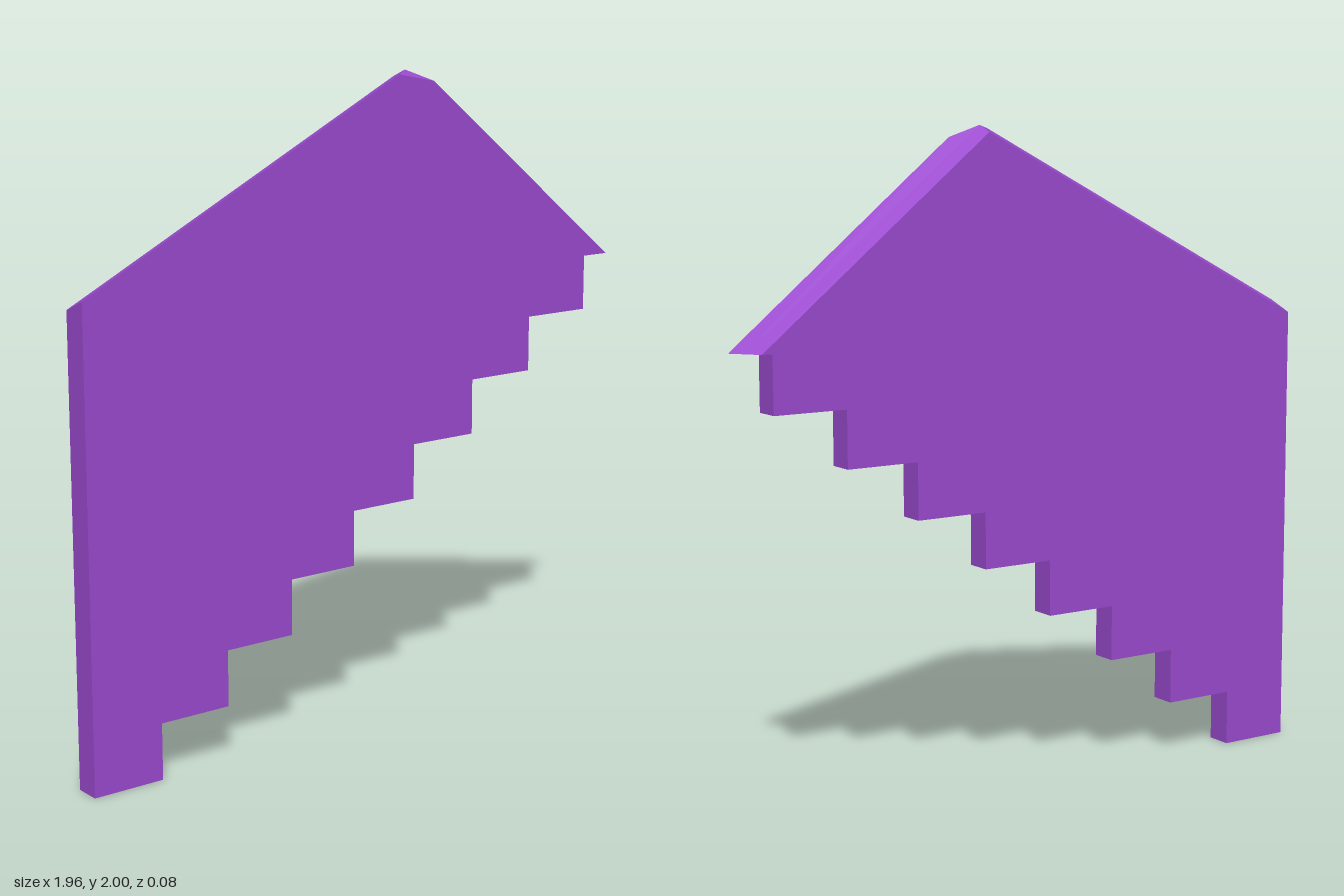
import * as THREE from 'three';

const STEPS = 8, RISE = 0.1725, RUN = 0.2335, LEFT = -0.98, DEPTH = 0.041;

// Counter-clockwise outline of the panel: stepped underside, then the gabled top
function outline(z, tipX, peakRight, peakLeft, eaveY) {
  const pts = [[LEFT, 0]];
  for (let i = 0; i < STEPS; i++) {
    const x = -0.75 + i * RUN;
    pts.push([x, i * RISE], [x, (i + 1) * RISE]);
  }
  pts.push([tipX, STEPS * RISE], peakRight, peakLeft, [LEFT, eaveY]);
  return pts.map(([x, y]) => new THREE.Vector3(x, y, z));
}

function panelGeometry() {
  // Sections from front to back; the split front peak closes to one ridge point
  const sections = [
    outline(DEPTH, 0.98, [0.255, 1.965], [0.122, 1.99], 1.43),
    outline(0, 0.949, [0.175, 2], [0.175, 2], 1.413),
    outline(-DEPTH, 0.918, [0.167, 1.98], [0.167, 1.98], 1.396),
  ];
  const positions = [];
  const tri = (a, b, c) => {
    if (a.equals(b) || b.equals(c) || a.equals(c)) return;
    for (const p of [a, b, c]) positions.push(p.x, p.y, p.z);
  };
  const cap = (loop, flip) => {
    const flat = loop.map((p) => new THREE.Vector2(p.x, p.y));
    for (const [a, b, c] of THREE.ShapeUtils.triangulateShape(flat, [])) {
      if (flip) tri(loop[c], loop[b], loop[a]);
      else tri(loop[a], loop[b], loop[c]);
    }
  };

  // Front and back faces
  cap(sections[0], false);
  cap(sections[2], true);

  // Rim between neighbouring sections
  for (let s = 0; s < 2; s++) {
    const near = sections[s], far = sections[s + 1];
    for (let i = 0; i < near.length; i++) {
      const j = (i + 1) % near.length;
      tri(near[i], far[i], near[j]);
      tri(near[j], far[i], far[j]);
    }
  }

  const geometry = new THREE.BufferGeometry();
  geometry.setAttribute('position', new THREE.Float32BufferAttribute(positions, 3));
  geometry.computeVertexNormals();
  return geometry;
}

export function createModel() {
  const group = new THREE.Group();
  group.name = 'steppedGablePanel';
  const material = new THREE.MeshStandardMaterial({ color: 0x9b4ad0, flatShading: true });
  const panel = new THREE.Mesh(panelGeometry(), material);
  panel.name = 'steppedWall';
  group.add(panel);
  return group;
}
